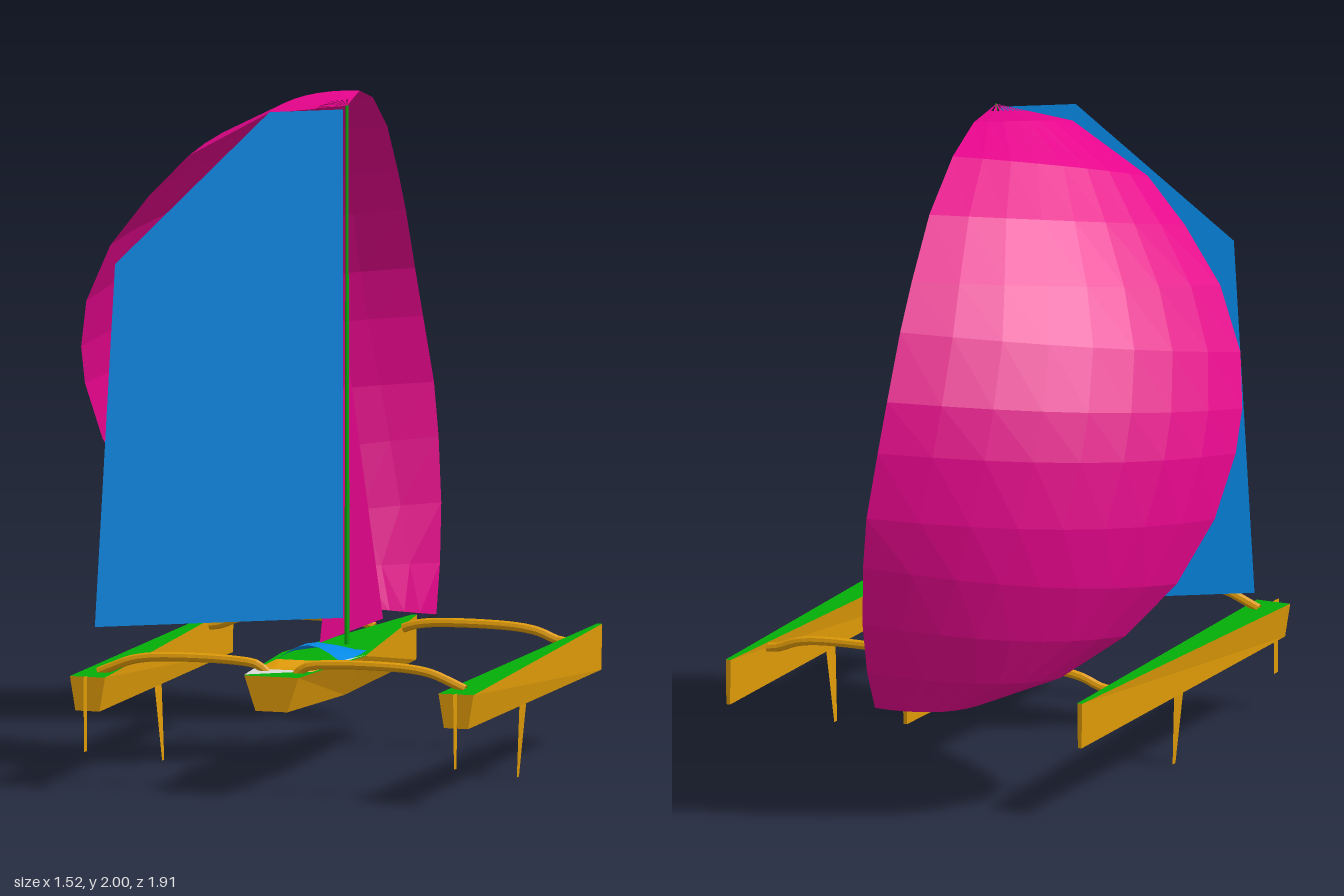
import * as THREE from 'three';

const mat = (name, color, opts = {}) => {
  const m = new THREE.MeshStandardMaterial({ color, flatShading: true, ...opts });
  m.name = name;
  return m;
};
const V = (a) => new THREE.Vector3(...a);

export function createModel() {
  const both = { side: THREE.DoubleSide };
  const M = {
    orange: mat('hull orange', 0xde9a08, both),
    green: mat('deck green', 0x04ae08, both),
    blue: mat('sail blue', 0x0488e4, both),
    magenta: mat('sail magenta', 0xe6048c, both),
    white: mat('panel white', 0xd8d8d8, both),
    black: mat('rope black', 0x202020),
  };
  const model = new THREE.Group();
  model.name = 'trimaran';
  const add = (parent, name, geo, material) => {
    const m = new THREE.Mesh(geo, material);
    m.name = name;
    parent.add(m);
    return m;
  };

  // Geometry from a list of flat faces
  const faces = (list) => {
    const p = [];
    for (const f of list)
      for (let k = 1; k < f.length - 1; k++) p.push(...f[0], ...f[k], ...f[k + 1]);
    const g = new THREE.BufferGeometry();
    g.setAttribute('position', new THREE.Float32BufferAttribute(p, 3));
    g.computeVertexNormals();
    return g;
  };

  // Hull from sections [z, half width top, half width bottom, y top, y bottom], bow first
  const hullFaces = (sections) => {
    const s = sections.map(([z, t, b, yt, yb]) => [[-t, yt, z], [-b, yb, z], [b, yb, z], [t, yt, z]]);
    const sides = [], deck = [];
    for (let i = 0; i < s.length - 1; i++) {
      const a = s[i], b = s[i + 1];
      for (let k = 0; k < 3; k++) sides.push([a[k], a[k + 1], b[k + 1], b[k]]);
      deck.push([a[0], b[0], b[3], a[3]]);
    }
    sides.push([...s[0]].reverse(), s[s.length - 1]);
    return { sides: faces(sides), deck: faces(deck) };
  };

  // Flat deck panel from [x, z] points
  const outline = (pts) => pts.map(([x, z]) => new THREE.Vector2(x, -z));
  const panel = (pts, y, hole) => {
    const shape = new THREE.Shape(outline(pts));
    if (hole) shape.holes.push(new THREE.Path(outline(hole)));
    return new THREE.ShapeGeometry(shape).rotateX(-Math.PI / 2).translate(0, y, 0);
  };

  // Boat, turned five degrees off the z axis
  const boat = new THREE.Group();
  boat.name = 'boat';
  boat.position.set(0.1325, 0, 0.0116);
  boat.rotation.y = -0.087;
  model.add(boat);

  // Main hull with a sunken cockpit
  const main = hullFaces([
    [-0.484, 0.008, 0.006, 0.37, 0.235],
    [0.375, 0.13, 0.065, 0.37, 0.25],
    [0.87, 0.085, 0.05, 0.37, 0.265],
  ]);
  const cockpit = [[-0.102, 0.515], [0.1, 0.515], [0.085, 0.74], [-0.09, 0.74]];
  add(boat, 'mainHull', main.sides, M.orange);
  add(boat, 'mainDeck', panel(
    [[-0.008, -0.484], [0.008, -0.484], [0.13, 0.375], [0.085, 0.87], [-0.085, 0.87], [-0.13, 0.375]],
    0.37, cockpit), M.green);
  add(boat, 'cockpitFloor', panel(cockpit, 0.348), M.orange);
  add(boat, 'sternPanel', panel([[-0.097, 0.742], [0.09, 0.742], [-0.085, 0.869]], 0.373), M.white);
  add(boat, 'sidePanel', panel([[0.13, 0.375], [0.101, 0.5], [0.092, 0.74]], 0.373), M.white);

  // Arched cabin roof rising towards the cockpit
  const cabin = new THREE.PlaneGeometry(2, 1, 6, 3).rotateX(-Math.PI / 2);
  const cp = cabin.attributes.position;
  for (let i = 0; i < cp.count; i++) {
    const x = cp.getX(i), t = cp.getZ(i) + 0.5;
    const h = 0.045 * Math.sin(Math.min(1, t * 1.2) * Math.PI / 2);
    cp.setXYZ(i, x * (0.098 + 0.012 * Math.sin(t * Math.PI)), 0.371 + h * Math.cos(x * Math.PI / 2), 0.262 + 0.253 * t);
  }
  cabin.computeVertexNormals();
  add(boat, 'cabinRoof', cabin, M.blue);

  // Tapered foil with a diamond section
  const foil = (name, parent, x, z, top, bottom, chordTop, chordTip, cant) => {
    const g = new THREE.CylinderGeometry(chordTop / 2, chordTip / 2, top - bottom, 4)
      .scale(0.12, 1, 1).rotateZ(cant).translate(x, (top + bottom) / 2, z);
    add(parent, name, g, M.orange);
  };

  // Outriggers, cross beams, boards and rudders on both sides
  const float = hullFaces([[-0.493, 0.008, 0.006, 0.368, 0.23], [0.867, 0.055, 0.038, 0.343, 0.24]]);
  for (const [label, s] of [['left', 1], ['right', -1]]) {
    const side = new THREE.Group();
    side.name = label + 'Outrigger';
    boat.add(side);
    add(side, label + 'Float', float.sides, M.orange).position.x = s * 0.578;
    add(side, label + 'FloatDeck', float.deck, M.green).position.x = s * 0.578;
    foil(label + 'Daggerboard', side, s * 0.565, 0.215, 0.25, 0.003, 0.07, 0.02, -s * 0.07);
    foil(label + 'Rudder', side, s * 0.58, 0.88, 0.345, 0.12, 0.04, 0.025, 0);
    for (const [end, z, y] of [['Front', -0.243, 0.386], ['Rear', 0.771, 0.399]]) {
      const path = new THREE.CatmullRomCurve3([
        [0.045, 0.365], [0.075, y - 0.01], [0.14, y], [0.39, y], [0.47, y - 0.012], [0.53, y - 0.035], [0.575, 0.345],
      ].map(([px, py]) => new THREE.Vector3(s * px, py, z)));
      add(side, label + end + 'Beam', new THREE.TubeGeometry(path, 24, 0.014, 8), M.orange);
    }
  }

  // Mast
  add(model, 'mast', new THREE.CylinderGeometry(0.004, 0.008, 1.62, 8).translate(0.12, 1.18, 0.168), M.green);

  // Mainsail, swung out to the right
  const mainsail = [[0.11, 0.45], [0.11, 1.98], [-0.09, 1.98], [-0.51, 1.54], [-0.565, 0.45]]
    .map(([x, y]) => [x, y, 0.178 + (0.11 - x) * 0.528]);
  add(model, 'mainsail', faces([mainsail]), M.blue);

  // Jib, its rear corner eased to the right
  add(model, 'jib', faces([[[0.12, 1.24, 0.16], [0.035, 0.37, 0.16], [0.15, 0.4, -0.17]]]), M.magenta);

  // Spinnaker: bulging rows between the two curved edges
  const luff = [
    [0.12, 1.99, 0.17], [0.1, 2, -0.08], [0.09, 1.95, -0.29], [0.08, 1.83, -0.52], [0.07, 1.67, -0.7],
    [0.07, 1.54, -0.8], [0.075, 1.35, -0.9], [0.09, 1.2, -0.94], [0.12, 1, -0.955], [0.14, 0.84, -0.93],
    [0.16, 0.65, -0.88], [0.175, 0.48, -0.8], [0.19, 0.34, -0.69],
  ].map(V);
  const leech = [
    [0.12, 1.99, 0.17], [-0.12, 1.96, 0.175], [-0.37, 1.82, 0.145], [-0.5, 1.69, 0.11], [-0.63, 1.53, 0.06],
    [-0.72, 1.35, -0.01], [-0.755, 1.2, -0.09], [-0.76, 1.08, -0.16], [-0.73, 0.9, -0.26], [-0.65, 0.72, -0.37],
    [-0.52, 0.57, -0.46], [-0.35, 0.45, -0.56], [-0.12, 0.365, -0.65],
  ].map(V);
  const cols = 8, rows = luff.length - 1;
  const sailPoint = (i, u) => {
    const bulge = 0.58 * u * (1 - u) * luff[i].distanceTo(leech[i]);
    const dir = new THREE.Vector3(-0.65, 0.3 - 0.4 * i / rows, -0.65).normalize();
    return luff[i].clone().lerp(leech[i], u).addScaledVector(dir, bulge).toArray();
  };
  // Point on the top row, part of the way down from the head
  const head = luff[0].toArray();
  const rayPoint = (u) => luff[0].clone().lerp(V(sailPoint(1, u)), 0.4).toArray();
  const cloth = [];
  for (let j = 0; j < cols; j++) {
    const a = j / cols, b = (j + 1) / cols;
    // Separate strips with gaps between them gather at the head
    cloth.push([head, rayPoint(a), rayPoint(a + 0.6 / cols)]);
    cloth.push([rayPoint(a), rayPoint(b), sailPoint(1, b), sailPoint(1, a)]);
    for (let i = 1; i < rows; i++)
      cloth.push([sailPoint(i, a), sailPoint(i, b), sailPoint(i + 1, b), sailPoint(i + 1, a)]);
  }
  add(model, 'spinnaker', faces(cloth), M.magenta);

  // Tack line from the bow to the spinnaker
  const line = new THREE.LineCurve3(V([0.172, 0.345, -0.46]), V([0.19, 0.34, -0.69]));
  add(model, 'tackLine', new THREE.TubeGeometry(line, 1, 0.002, 5), M.black);

  return model;
}
